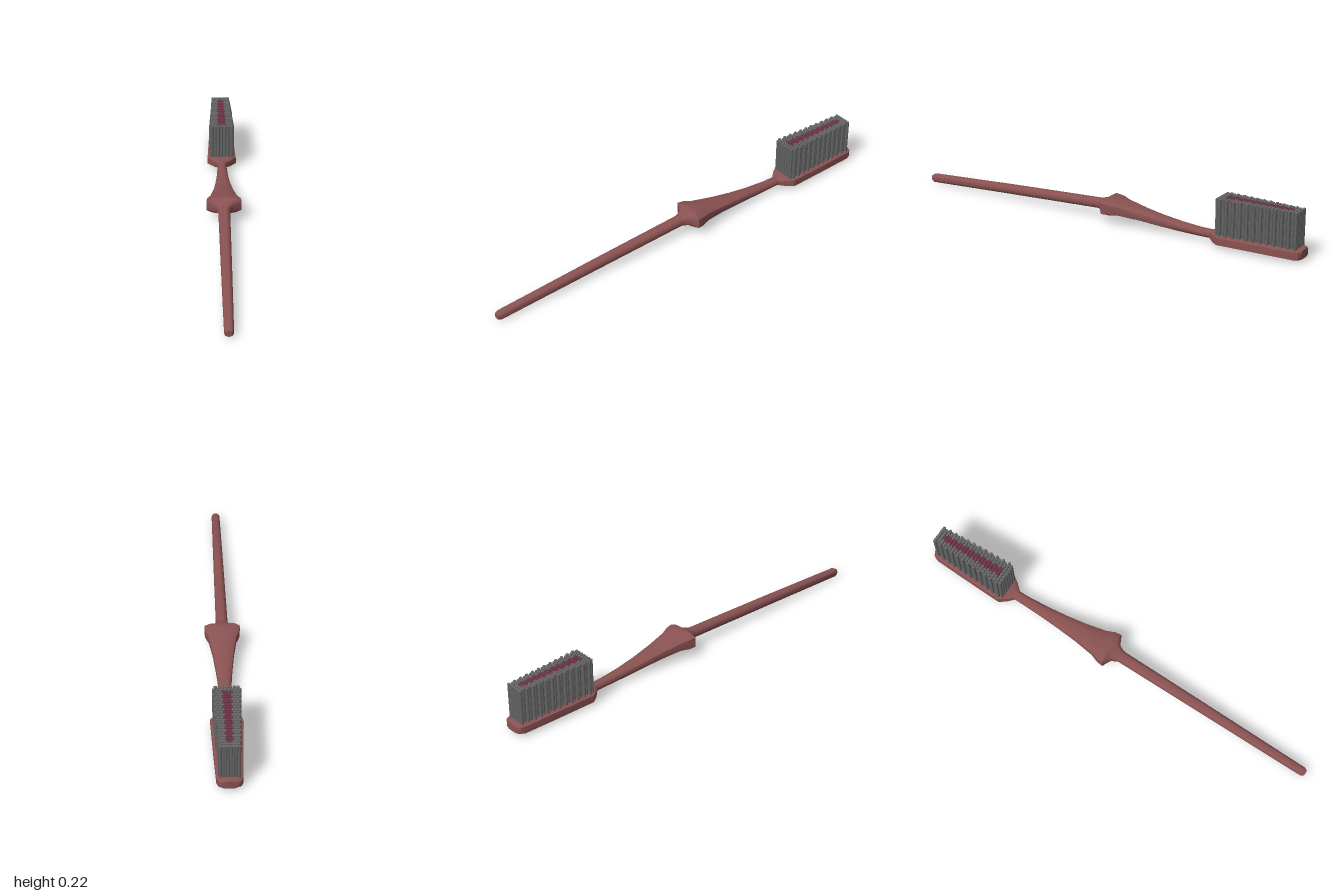
import * as THREE from 'three';
import { mergeGeometries, toCreasedNormals } from 'three/addons/utils/BufferGeometryUtils.js';

const SIDES = 16;

// Skin closed rings along z. Each section: [z, half width, bottom y, top y, roundness]
// roundness 1 = ellipse, towards 0 = rectangle
function loft(sections, crease) {
  const pos = [], idx = [];
  for (const [z, w, y0, y1, e] of sections) {
    for (let i = 0; i < SIDES; i++) {
      const a = ((i + 0.5) / SIDES) * Math.PI * 2;
      const c = Math.cos(a), s = Math.sin(a);
      const k = Math.pow(Math.abs(c), 2 / e) + Math.pow(Math.abs(s), 2 / e);
      const r = Math.pow(k, -e / 2);
      pos.push(w * c * r, (y0 + y1) / 2 + ((y1 - y0) / 2) * s * r, z);
    }
  }
  const n = sections.length;
  for (let j = 0; j < n - 1; j++) {
    for (let i = 0; i < SIDES; i++) {
      const a = j * SIDES + i, b = j * SIDES + (i + 1) % SIDES;
      idx.push(a, a + SIDES, b, b, a + SIDES, b + SIDES);
    }
  }
  // end caps
  for (const [j, front] of [[0, true], [n - 1, false]]) {
    const centre = pos.length / 3;
    const [z, , y0, y1] = sections[j];
    pos.push(0, (y0 + y1) / 2, z);
    for (let i = 0; i < SIDES; i++) {
      const a = j * SIDES + i, b = j * SIDES + (i + 1) % SIDES;
      idx.push(centre, ...(front ? [a, b] : [b, a]));
    }
  }
  const g = new THREE.BufferGeometry();
  g.setAttribute('position', new THREE.Float32BufferAttribute(pos, 3));
  g.setIndex(idx);
  return toCreasedNormals(g, crease);
}

export function createModel() {
  const group = new THREE.Group();
  const plastic = new THREE.MeshStandardMaterial({ color: 0x8a5252 });
  const grey = new THREE.MeshStandardMaterial({ color: 0x666666 });
  const red = new THREE.MeshStandardMaterial({ color: 0x6e3448 });

  const add = (name, geometry, material) => {
    const mesh = new THREE.Mesh(geometry, material);
    mesh.name = name;
    group.add(mesh);
  };

  // Slim tapering handle running into the flared thumb rest
  add('handle', loft([
    [1.0, 0.013, 0.012, 0.039, 0.8],
    [0.985, 0.02, 0.004, 0.046, 0.8],
    [0.5, 0.024, 0.028, 0.073, 0.8],
    [0.03, 0.027, 0.05, 0.096, 0.8],
    [-0.02, 0.032, 0.05, 0.1, 0.7],
  ], 0.6), plastic);

  // Thumb rest, then the curved neck down to the head
  add('thumbRestAndNeck', loft([
    [0.02, 0.027, 0.05, 0.096, 0.7],
    [-0.01, 0.04, 0.047, 0.102, 0.5],
    [-0.03, 0.08, 0.042, 0.115, 0.25],
    [-0.06, 0.077, 0.042, 0.112, 0.3],
    [-0.1, 0.063, 0.045, 0.103, 0.4],
    [-0.2, 0.047, 0.039, 0.087, 0.5],
    [-0.3, 0.036, 0.03, 0.073, 0.6],
    [-0.4, 0.028, 0.023, 0.063, 0.7],
    [-0.5, 0.023, 0.02, 0.057, 0.8],
    [-0.58, 0.022, 0.02, 0.057, 0.8],
  ], 0.7), plastic);

  // Flat head, widest next to the neck
  add('head', loft([
    [-0.555, 0.022, 0.022, 0.055, 0.6],
    [-0.585, 0.05, 0.014, 0.06, 0.35],
    [-0.615, 0.07, 0.011, 0.061, 0.3],
    [-0.8, 0.063, 0.011, 0.061, 0.3],
    [-0.97, 0.055, 0.011, 0.061, 0.3],
    [-0.99, 0.048, 0.014, 0.06, 0.35],
    [-1.0, 0.034, 0.018, 0.056, 0.5],
  ], 0.6), plastic);

  // Staggered tufts in rows that narrow towards the tip
  const outer = [], inner = [];
  const ROWS = 24, RADIUS = 0.0075;
  for (let r = 0; r < ROWS; r++) {
    const t = r / (ROWS - 1);
    const z = THREE.MathUtils.lerp(-0.605, -0.972, t);
    const half = THREE.MathUtils.lerp(0.055, 0.038, t);
    const count = r % 2 ? 8 : 7;
    const spread = r % 2 ? half : half * 6 / 7;
    for (let c = 0; c < count; c++) {
      const u = (c / (count - 1)) * 2 - 1;
      const tuft = new THREE.CylinderGeometry(RADIUS, RADIUS, 0.167, 6);
      tuft.translate(u * spread, 0.1385, z);
      (Math.abs(u) < 0.35 && r > 1 && r < ROWS - 2 ? inner : outer).push(tuft);
    }
  }
  add('outerBristles', mergeGeometries(outer), grey);
  add('innerBristles', mergeGeometries(inner), red);

  return group;
}
